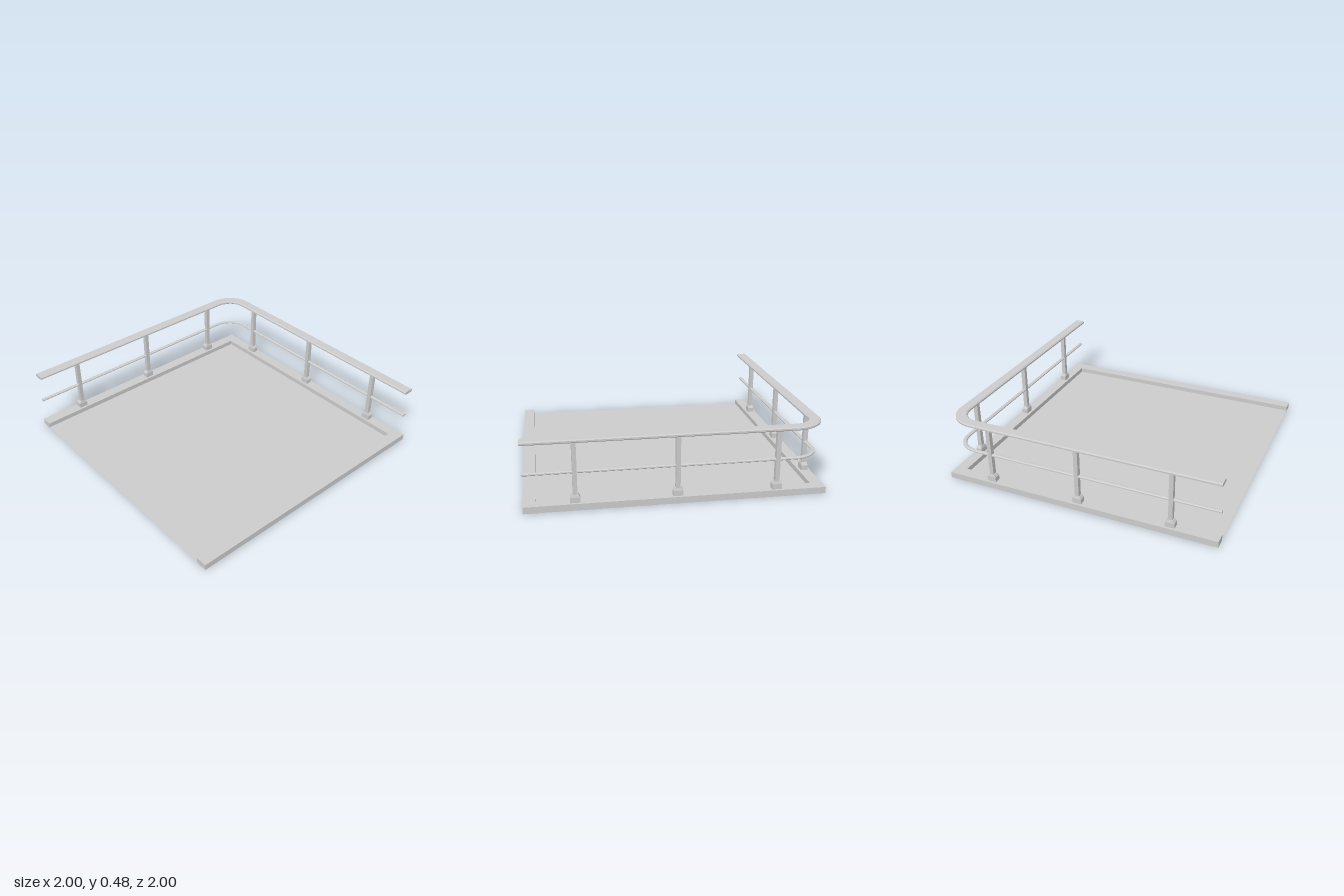
import * as THREE from 'three';

const material = new THREE.MeshStandardMaterial({ color: 0xcccccc, flatShading: true });
const floorMaterial = new THREE.MeshStandardMaterial({ color: 0xcccccc, side: THREE.DoubleSide });

const LINE = -0.96;   // centre line of the railing
const BEND = 0.17;    // radius of the railing corner
const CURB = 0.045;   // curb height

function addMesh(parent, name, geometry, mat = material) {
  const mesh = new THREE.Mesh(geometry, mat);
  mesh.name = name;
  parent.add(mesh);
  return mesh;
}

// Stations along the railing: position and outward direction in plan
function railStations(steps = 12) {
  const c = LINE + BEND;
  const stations = [{ x: LINE, z: 1, nx: -1, nz: 0 }];
  for (let i = 0; i <= steps; i++) {
    const a = (i / steps) * Math.PI / 2;
    const nx = -Math.cos(a), nz = -Math.sin(a);
    stations.push({ x: c + BEND * nx, z: c + BEND * nz, nx, nz });
  }
  stations.push({ x: 1, z: LINE, nx: 0, nz: -1 });
  return stations;
}

// Sweep a closed profile [outward, height], counter-clockwise, along the railing
function sweepRail(profile) {
  const stations = railStations(), n = profile.length;
  const positions = [], index = [];
  for (const s of stations) {
    for (const [d, y] of profile) positions.push(s.x + s.nx * d, y, s.z + s.nz * d);
  }
  for (let i = 0; i < stations.length - 1; i++) {
    for (let j = 0; j < n; j++) {
      const a = i * n + j, b = i * n + (j + 1) % n;
      index.push(a, a + n, b, b, a + n, b + n);
    }
  }
  // End caps
  const last = (stations.length - 1) * n;
  for (let j = 1; j < n - 1; j++) {
    index.push(0, j, j + 1, last, last + j + 1, last + j);
  }
  // Keep every face turned outwards
  for (let k = 0; k < index.length; k += 3) {
    [index[k + 1], index[k + 2]] = [index[k + 2], index[k + 1]];
  }
  const indexed = new THREE.BufferGeometry();
  indexed.setAttribute('position', new THREE.Float32BufferAttribute(positions, 3));
  indexed.setIndex(index);
  const geometry = indexed.toNonIndexed();
  geometry.computeVertexNormals();
  return geometry;
}

// Box whose top is narrowed to form a sloped shoulder
function taperedBox(w, h, d, topW, topD) {
  const geometry = new THREE.BoxGeometry(w, h, d);
  const p = geometry.attributes.position;
  for (let i = 0; i < p.count; i++) {
    if (p.getY(i) > 0) p.setXYZ(i, p.getX(i) * topW / w, p.getY(i), p.getZ(i) * topD / d);
  }
  geometry.computeVertexNormals();
  return geometry;
}

// Post with foot block, built with its long side along x
function createPost(name) {
  const post = new THREE.Group();
  post.name = name;
  addMesh(post, 'foot', new THREE.BoxGeometry(0.066, 0.036, 0.046)).position.y = CURB + 0.018;
  addMesh(post, 'footShoulder', taperedBox(0.066, 0.018, 0.046, 0.04, 0.036)).position.y = CURB + 0.045;
  addMesh(post, 'shaft', new THREE.BoxGeometry(0.03, 0.37, 0.032)).position.y = 0.275;
  return post;
}

export function createModel() {
  const model = new THREE.Group();
  model.name = 'balcony';

  // Raised curb on three sides, open at the front
  const inner = 0.918;
  const outline = [[-1, -1], [-inner, -1], [-inner, inner], [inner, inner], [inner, -1], [1, -1], [1, 1], [-1, 1]];
  const shape = new THREE.Shape(outline.map(([x, y]) => new THREE.Vector2(x, y)));
  const curb = new THREE.ExtrudeGeometry(shape, { depth: CURB, bevelEnabled: false });
  curb.rotateX(-Math.PI / 2);
  addMesh(model, 'curb', curb);

  // Thin floor panel set low between the curbs
  const floor = new THREE.PlaneGeometry(2 * inner, 1 + inner);
  floor.rotateX(-Math.PI / 2);
  addMesh(model, 'floor', floor, floorMaterial).position.set(0, 0.01, (1 - inner) / 2);

  // Posts along the back and the right side
  for (const t of [-0.667, 0, 0.667]) {
    const back = createPost('backPost');
    back.position.set(t, 0, LINE);
    const side = createPost('sidePost');
    side.position.set(LINE, 0, t);
    side.rotation.y = Math.PI / 2;
    model.add(back, side);
  }

  // Wide handrail with chamfered edges
  addMesh(model, 'handrail', sweepRail([
    [-0.03, 0.455], [0.03, 0.455], [0.04, 0.462], [0.04, 0.473],
    [0.032, 0.48], [-0.032, 0.48], [-0.04, 0.473], [-0.04, 0.462],
  ]));

  // Slim middle rail
  const midProfile = Array.from({ length: 8 }, (_, i) => {
    const a = (i + 0.5) * Math.PI / 4;
    return [0.015 * Math.cos(a), 0.252 + 0.01 * Math.sin(a)];
  });
  addMesh(model, 'middleRail', sweepRail(midProfile));

  return model;
}
